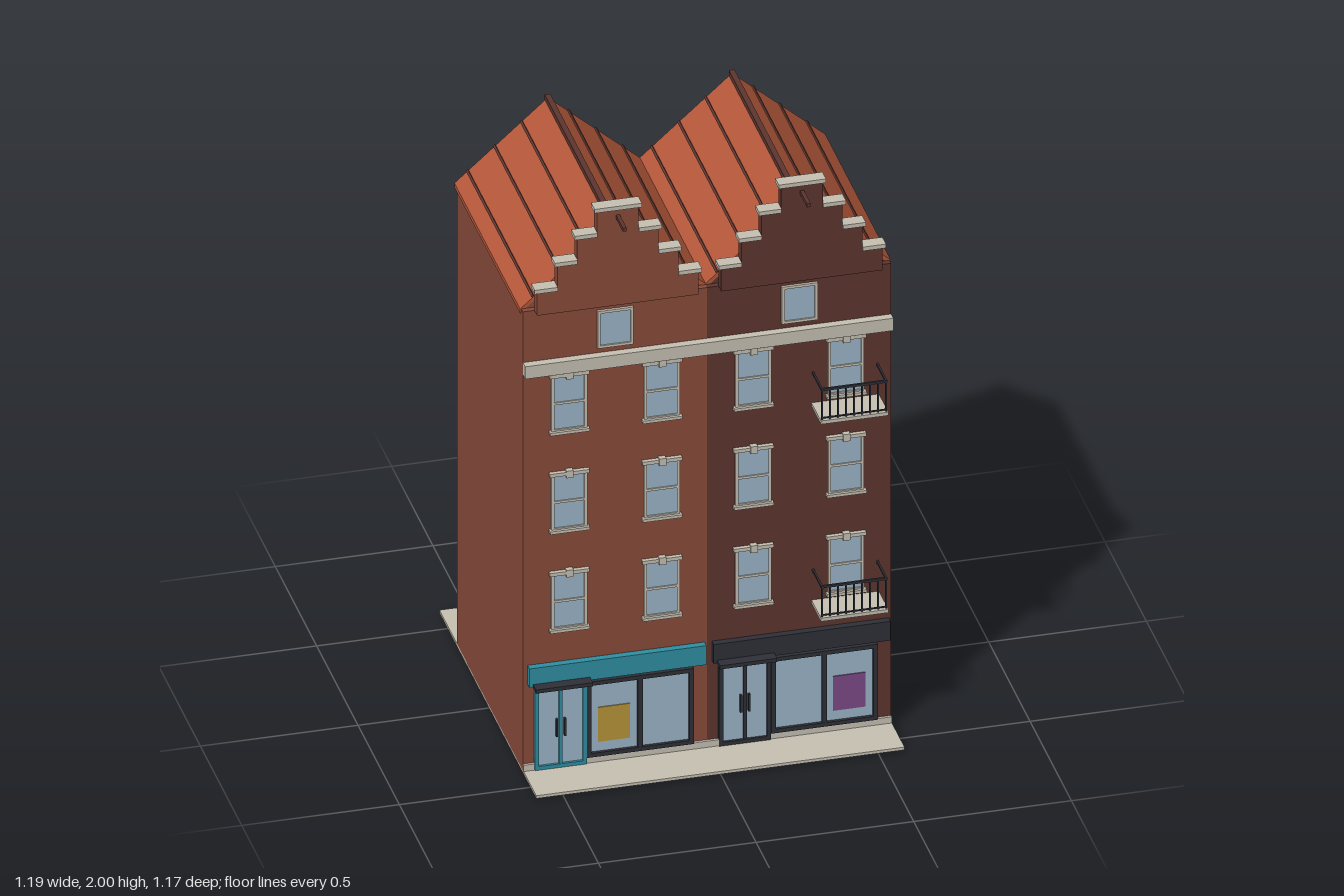
import * as THREE from 'three';

const mat = (name, color) => Object.assign(new THREE.MeshStandardMaterial({ color }), { name });

export function createModel() {
  const brick = mat('red brick', 0x8a4b3b), darkBrick = mat('dark brick', 0x5e352e);
  const tile = mat('roof tile', 0xb5583a), stone = mat('stone', 0xc8c2b4);
  const glass = mat('glass', 0x9db6cb), teal = mat('teal paint', 0x2f8fa3);
  const charcoal = mat('charcoal', 0x2f3038), mustard = mat('mustard', 0xb8963a);
  const purple = mat('purple', 0x7d4a87);

  const model = new THREE.Group();
  model.name = 'townhouses';
  const group = (name, parent = model) => {
    const g = new THREE.Group();
    g.name = name;
    parent.add(g);
    return g;
  };
  const add = (parent, name, geo, material, x = 0, y = 0, z = 0) => {
    const m = new THREE.Mesh(geo, material);
    m.name = name;
    m.position.set(x, y, z);
    parent.add(m);
    return m;
  };
  // box given by its extents
  const box = (p, name, m, x0, x1, y0, y1, z0, z1) =>
    add(p, name, new THREE.BoxGeometry(x1 - x0, y1 - y0, z1 - z0), m, (x0 + x1) / 2, (y0 + y1) / 2, (z0 + z1) / 2);
  // outline in x,y extruded from z0 to z1
  const extrude = (p, name, m, pts, x, z0, z1) =>
    add(p, name, new THREE.ExtrudeGeometry(new THREE.Shape(pts.map(a => new THREE.Vector2(...a))),
      { depth: z1 - z0, bevelEnabled: false }), m, x, 0, z0);

  const FRONT = 0.423, BACK = -0.374, EAVE = 1.645;

  // pavement and door steps
  box(model, 'pavement', stone, -0.588, 0.58, 0.008, 0.018, -0.586, 0.584);
  for (const x of [-0.58, 0.008]) box(model, 'doorStep', stone, x, x + 0.21, 0, 0.016, 0.42, 0.5);

  // four thin bars around an opening
  const frame = (p, name, m, x0, x1, y0, y1, z0, z1, t) => {
    box(p, name, m, x0, x0 + t, y0, y1, z0, z1);
    box(p, name, m, x1 - t, x1, y0, y1, z0, z1);
    box(p, name, m, x0 + t, x1 - t, y0, y0 + t, z0, z1);
    box(p, name, m, x0 + t, x1 - t, y1 - t, y1, z0, z1);
  };

  // sash window, built facing +z about its own origin
  const sashWindow = (p, x, y, z, h, { ornate = false, bar = true, back = false } = {}) => {
    const w = group('window', p), b = h / 2;
    w.position.set(x, y, z);
    if (back) w.rotation.y = Math.PI;
    box(w, 'windowGlass', glass, -0.05, 0.05, -b, b, -0.002, 0.004);
    frame(w, 'windowFrame', stone, -0.057, 0.057, -b - 0.007, b + 0.007, -0.002, 0.009, 0.009);
    if (bar) box(w, 'sashBar', stone, -0.048, 0.048, -0.004, 0.004, 0, 0.008);
    if (ornate) {
      box(w, 'windowSill', stone, -0.063, 0.063, -b - 0.013, -b - 0.003, 0, 0.018);
      box(w, 'lintel', stone, -0.063, 0.063, b + 0.001, b + 0.013, 0, 0.014);
      box(w, 'keystone', stone, -0.011, 0.011, b - 0.006, b + 0.019, 0, 0.018);
    }
  };

  const balcony = (p, x, y) => {
    const g = group('balcony', p), r = 0.102, z1 = 0.533, top = 0.122;
    g.position.set(x, y, 0);
    box(g, 'balconySlab', stone, -0.107, 0.107, 0, 0.012, FRONT, 0.538);
    box(g, 'frontRail', charcoal, -r - 0.003, r + 0.003, top - 0.008, top, z1 - 0.007, z1);
    box(g, 'lowerRail', charcoal, -r, r, 0.016, 0.02, z1 - 0.005, z1 - 0.001);
    for (const s of [-1, 1])
      box(g, 'sideRail', charcoal, s * r - 0.003, s * r + 0.003, top - 0.008, top, FRONT, z1);
    for (let i = 0; i <= 8; i++) {
      const bx = -r + i * r / 4;
      box(g, 'baluster', charcoal, bx - 0.0025, bx + 0.0025, 0.012, top - 0.006, z1 - 0.006, z1 - 0.001);
    }
  };

  // shopfront, x0 is the left edge of the door
  const shopfront = (p, x0, trim, posterMat, posterX) => {
    const g = group('shopfront', p), d = x0 + 0.165, e = x0 + 0.503, mid = (d + e) / 2;
    box(g, 'fascia', trim, x0 - 0.02, x0 + 0.541, 0.32, 0.388, FRONT, 0.446);
    box(g, 'doorCanopy', charcoal, x0 - 0.009, x0 + 0.172, 0.318, 0.331, FRONT, 0.481);
    box(g, 'doorGlass', glass, x0, d, 0.02, 0.308, FRONT - 0.002, 0.428);
    frame(g, 'doorFrame', trim, x0, d, 0.018, 0.31, FRONT, 0.436, 0.013);
    box(g, 'doorMiddle', trim, x0 + 0.077, x0 + 0.088, 0.03, 0.3, FRONT, 0.434);
    for (const s of [-1, 1])
      box(g, 'doorHandle', charcoal, x0 + 0.0825 + s * 0.013 - 0.003, x0 + 0.0825 + s * 0.013 + 0.003, 0.13, 0.19, 0.426, 0.44);
    box(g, 'shopGlass', glass, d, e, 0.05, 0.3, FRONT - 0.002, 0.428);
    frame(g, 'shopFrame', charcoal, d, e, 0.04, 0.308, FRONT, 0.438, 0.014);
    box(g, 'shopMullion', charcoal, mid - 0.008, mid + 0.008, 0.05, 0.3, FRONT, 0.437);
    box(g, 'poster', posterMat, posterX - 0.051, posterX + 0.051, 0.088, 0.21, 0.427, 0.431);
    // plinth either side of the door
    box(g, 'plinth', stone, x0 - 0.035, x0, 0.018, 0.04, FRONT, 0.432);
    box(g, 'plinth', stone, d, x0 + 0.549, 0.018, 0.04, FRONT, 0.432);
  };

  const RIDGE = 1.905, HALF = 0.296;
  const house = (name, cx, wall) => {
    const g = group(name), w = 0.292;
    extrude(g, 'walls', wall, [[-w, 0.016], [w, 0.016], [w, EAVE], [0, 1.888], [-w, EAVE]], cx, BACK, 0.404);
    box(g, 'frontWall', wall, cx - w, cx + w, 0.016, EAVE, 0.404, FRONT);

    // pitched roof with seams, ridge cap and pale verge under the edges
    const slope = (RIDGE - EAVE) / HALF, t = 0.016;
    const chevron = (top, th, h = HALF) => [[-h, top - slope * h], [0, top], [h, top - slope * h],
      [h, top - slope * h - th], [0, top - th], [-h, top - slope * h - th]].reverse();
    extrude(g, 'roof', tile, chevron(RIDGE, t), cx, -0.39, 0.404);
    extrude(g, 'verge', stone, chevron(RIDGE - t, 0.008, 0.292), cx, -0.381, BACK);
    box(g, 'ridgeCap', darkBrick, cx - 0.009, cx + 0.009, RIDGE - 0.012, RIDGE + 0.01, -0.393, 0.406);
    for (const o of [-0.254, -0.168, -0.083, 0.065, 0.15, 0.236]) {
      const seam = add(g, 'roofSeam', new THREE.BoxGeometry(0.008, 0.01, 0.794), darkBrick,
        cx + o, RIDGE - slope * Math.abs(o), 0.007);
      seam.rotation.z = -Math.sign(o) * Math.atan(slope);
    }

    // stepped gable with stone copings
    const gable = group('steppedGable', g), steps = [0.256, 0.192, 0.129, 0.066];
    steps.forEach((h, i) => {
      const y = EAVE + i * 0.0865, top = y + 0.0865;
      box(gable, 'gableStep', wall, cx - h, cx + h, y, top, FRONT, 0.457);
      const inner = steps[i + 1] ?? 0;
      for (const s of [-1, 1]) {
        const a = cx + s * inner, b = cx + s * (h + 0.009);
        box(gable, 'coping', stone, Math.min(a, b), Math.max(a, b), top - 0.006, top + 0.008, FRONT - 0.004, 0.463);
      }
    });
    box(gable, 'hoistBeam', darkBrick, cx - 0.006, cx + 0.006, 1.953, 1.966, 0.43, 0.54);

    // cornice and windows
    box(g, 'cornice', stone, cx - w, cx + w, 1.421, 1.465, FRONT, 0.45);
    sashWindow(g, cx, 1.55, FRONT, 0.118, { bar: false });
    for (const y of [0.605, 0.957, 1.307]) {
      for (const s of [-1, 1]) sashWindow(g, cx + s * 0.147, y, FRONT, 0.186, { ornate: true });
      sashWindow(g, cx, y - 0.018, BACK, 0.152, { back: true });
      box(g, 'backSill', stone, cx - 0.06, cx + 0.06, y - 0.108, y - 0.098, BACK - 0.014, BACK);
    }
    return g;
  };

  const redHouse = house('redHouse', -0.296, brick);
  shopfront(redHouse, -0.553, teal, mustard, -0.301);
  const darkHouse = house('darkHouse', 0.288, darkBrick);
  shopfront(darkHouse, 0.031, charcoal, purple, 0.445);
  for (const y of [0.475, 1.175]) balcony(darkHouse, 0.434, y);

  // parked car behind the red house
  const car = group('car');
  box(car, 'carBody', stone, -0.52, -0.05, 0.035, 0.1, -0.58, -0.393);
  box(car, 'carCabin', stone, -0.435, -0.18, 0.1, 0.163, -0.566, -0.405);
  for (const x of [-0.468, -0.177])
    for (const z of [-0.59, -0.403]) box(car, 'wheel', charcoal, x, x + 0.074, 0.004, 0.074, z, z + 0.02);

  // tree
  const tree = group('tree');
  add(tree, 'trunk', new THREE.CylinderGeometry(0.008, 0.01, 0.15, 6), darkBrick, 0.08, 0.09, -0.48);
  const crown = new THREE.IcosahedronGeometry(0.07, 0).scale(1, 1.08, 1);
  add(tree, 'crown', crown, mustard, 0.08, 0.207, -0.48);

  // bins with lids
  for (const [x, m] of [[0.23, charcoal], [0.3, purple]]) {
    const bin = group('bin');
    add(bin, 'binBody', new THREE.CylinderGeometry(0.028, 0.026, 0.112, 8), m, x, 0.073, -0.538);
    add(bin, 'binLid', new THREE.CylinderGeometry(0.031, 0.031, 0.008, 8), glass, x, 0.133, -0.538);
  }

  // bollards
  for (const x of [0.465, 0.528, 0.591])
    add(model, 'bollard', new THREE.CylinderGeometry(0.003, 0.003, 0.082, 6), charcoal, x, 0.058, -0.42);

  return model;
}
